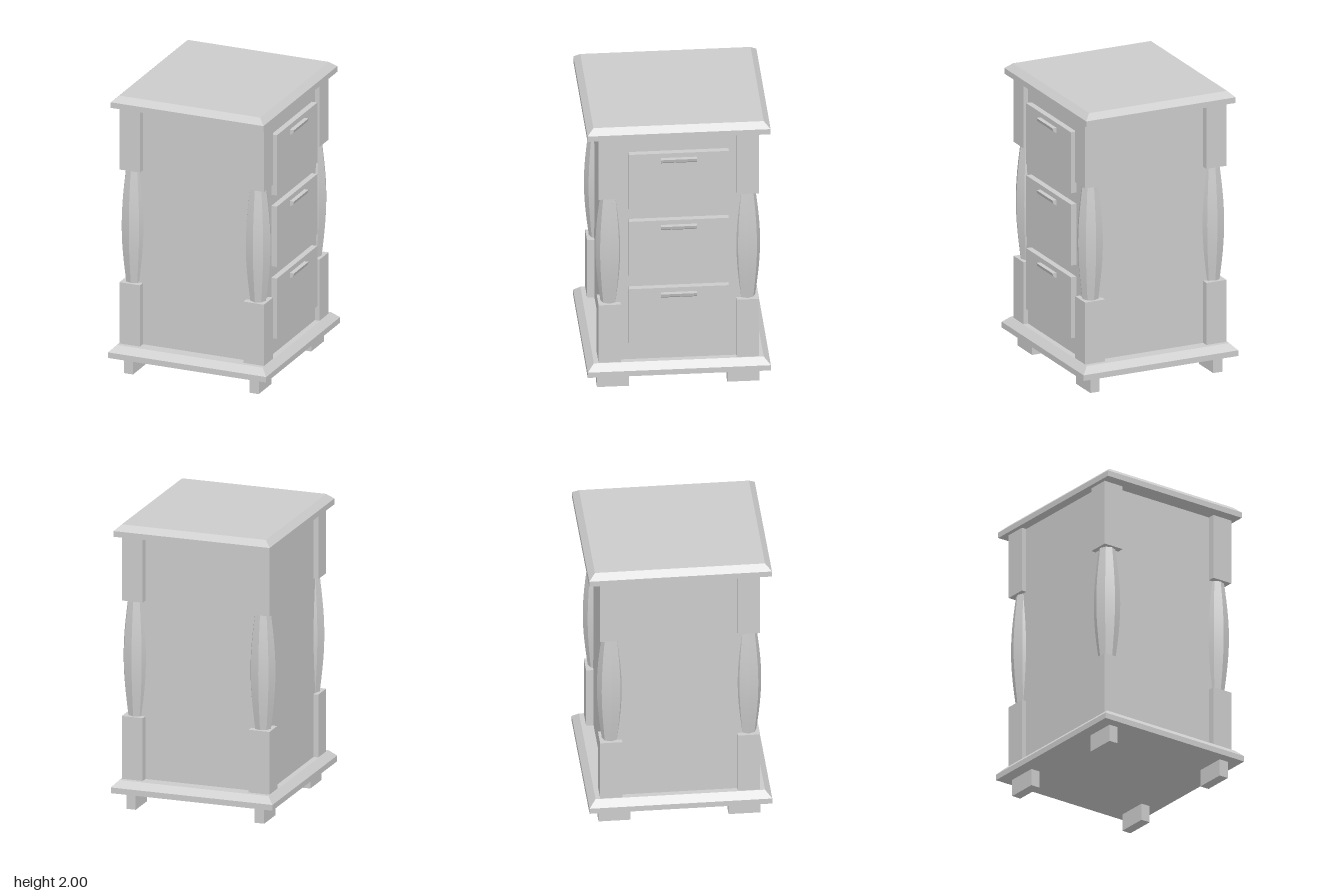
import * as THREE from 'three';
import { toCreasedNormals } from 'three/addons/utils/BufferGeometryUtils.js';

const material = new THREE.MeshStandardMaterial({ color: 0xcccccc });

function add(parent, name, geometry, x = 0, y = 0, z = 0) {
  const mesh = new THREE.Mesh(geometry, material);
  mesh.name = name;
  mesh.position.set(x, y, z);
  parent.add(mesh);
  return mesh;
}

// Box given by its size, centre and bottom height
function block(parent, name, w, h, d, x, bottom, z) {
  return add(parent, name, new THREE.BoxGeometry(w, h, d), x, bottom + h / 2, z);
}

// Slab with a straight rim and a chamfered upper edge
function chamferedSlab(parent, name, w, d, bottom, rim, bevel, inset) {
  const slab = new THREE.Group();
  slab.name = name;
  parent.add(slab);
  block(slab, name + 'Rim', w, rim, d, 0, bottom, 0);
  const geometry = new THREE.BoxGeometry(w, bevel, d);
  const p = geometry.attributes.position;
  for (let i = 0; i < p.count; i++) {
    if (p.getY(i) > 0) {
      p.setX(i, p.getX(i) - Math.sign(p.getX(i)) * inset);
      p.setZ(i, p.getZ(i) - Math.sign(p.getZ(i)) * inset);
    }
  }
  geometry.computeVertexNormals();
  add(slab, name + 'Chamfer', geometry, 0, bottom + rim + bevel / 2, 0);
}

// Eight-sided swelling spindle with an edge on each axis
function spindleGeometry(height) {
  const profile = [];
  const steps = 12;
  for (let i = 0; i <= steps; i++) {
    const t = i / steps;
    profile.push(new THREE.Vector2(0.057 + 0.033 * Math.sin(Math.PI * t), height * t));
  }
  return toCreasedNormals(new THREE.LatheGeometry(profile, 8), 0.45);
}

// Handle section drawn outward from the drawer face, extruded along its width
function handleGeometry(width) {
  const shape = new THREE.Shape([
    [-0.005, 0], [0.005, 0], [0.024, 0.014], [0.031, 0.037], [-0.005, 0.037],
  ].map(([x, y]) => new THREE.Vector2(x, y)));
  const geometry = new THREE.ExtrudeGeometry(shape, { depth: width, bevelEnabled: false });
  return geometry.translate(0, 0, -width / 2);
}

export function createModel() {
  const model = new THREE.Group();
  model.name = 'drawerCabinet';

  // Carcass between the two slabs
  block(model, 'body', 0.99, 1.72, 0.98, 0, 0.2, 0);
  chamferedSlab(model, 'base', 1.16, 1.234, 0.12, 0.04, 0.045, 0.045);
  chamferedSlab(model, 'top', 1.12, 1.234, 1.92, 0.04, 0.04, 0.043);

  // Corner posts with spindles, and feet below
  const spindle = spindleGeometry(0.81);
  for (const sx of [-1, 1]) {
    for (const sz of [-1, 1]) {
      const post = new THREE.Group();
      post.name = 'cornerPost';
      post.position.set(sx * 0.455, 0, sz * 0.465);
      model.add(post);
      block(post, 'lowerPostBlock', 0.15, 0.445, 0.15, 0, 0.2, 0);
      add(post, 'spindle', spindle, 0, 0.645, 0);
      block(post, 'upperPostBlock', 0.15, 0.465, 0.15, 0, 1.455, 0);
      block(model, 'foot', 0.068, 0.12, 0.217, sx * 0.461, 0, sz * 0.439);
    }
  }

  // Three drawers on the left side, each with a small pull
  const handle = handleGeometry(0.242);
  for (const bottom of [0.33, 0.847, 1.36]) {
    const drawer = new THREE.Group();
    drawer.name = 'drawer';
    drawer.position.y = bottom;
    model.add(drawer);
    block(drawer, 'drawerFront', 0.05, 0.433, 0.675, 0.511, 0, 0);
    add(drawer, 'drawerHandle', handle, 0.536, 0.362, 0);
  }

  return model;
}
